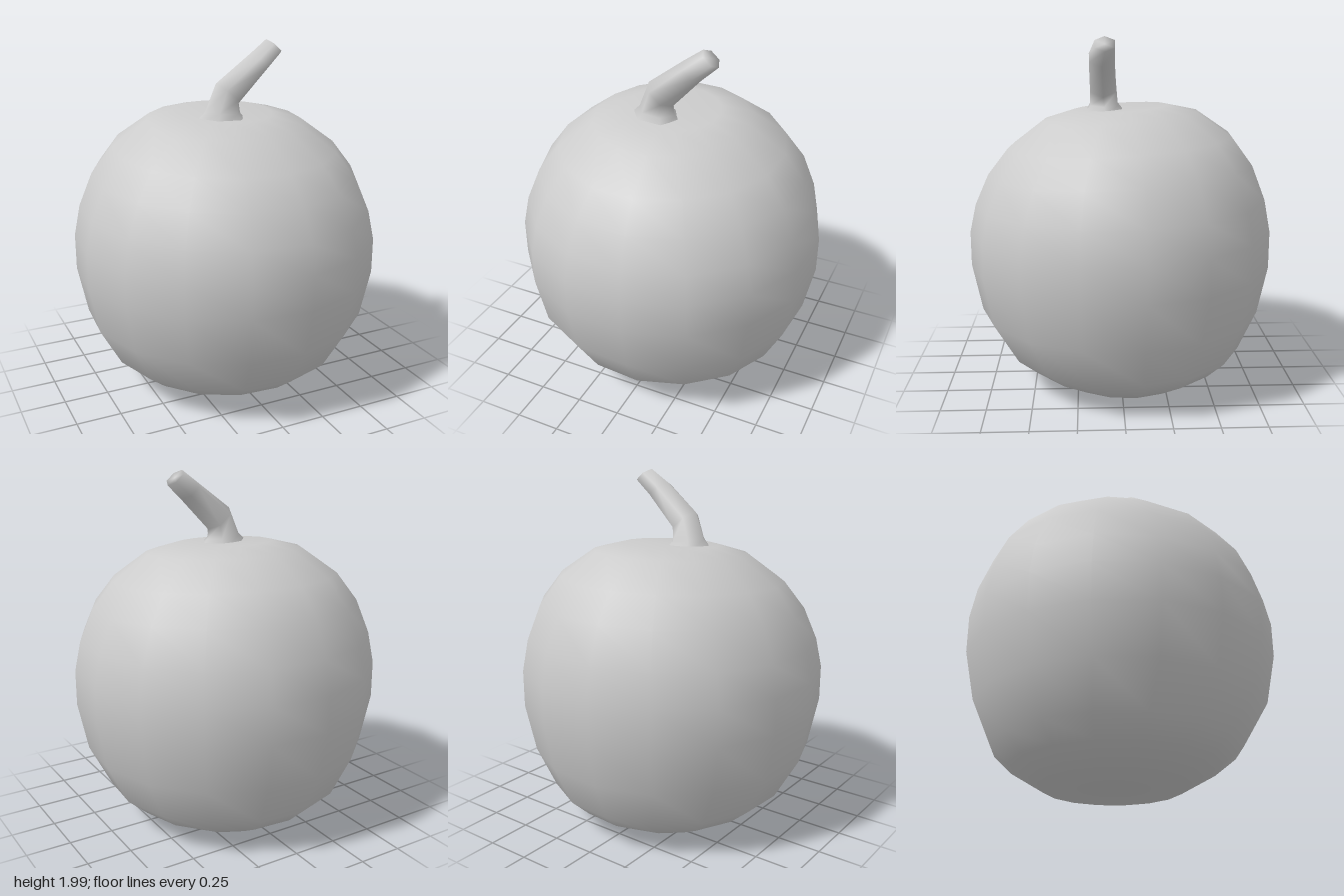
import * as THREE from 'three';
import { mergeVertices } from 'three/addons/utils/BufferGeometryUtils.js';

const material = () => new THREE.MeshStandardMaterial({ color: 0xcccccc });

// Plump round body with a shallow dimple where the stem sits
function createBody() {
  const profile = [
    [0, 0.02], [0.38, 0.01], [0.57, 0.12], [0.685, 0.22], [0.805, 0.45], [0.86, 0.72],
    [0.86, 0.92], [0.825, 1.09], [0.75, 1.27], [0.635, 1.42], [0.44, 1.56], [0.27, 1.605], [0, 1.585],
  ].map(([r, y]) => new THREE.Vector2(r, y));
  const geometry = new THREE.LatheGeometry(profile, 16, THREE.MathUtils.degToRad(7));
  geometry.deleteAttribute('uv');
  geometry.deleteAttribute('normal');
  const body = mergeVertices(geometry, 1e-4);
  const p = body.attributes.position;
  for (let i = 0; i < p.count; i++) {
    const x = p.getX(i), y = p.getY(i), z = p.getZ(i);
    // Tip the crown slightly forward, set the foot back, and move the dimple under the stem
    const top = THREE.MathUtils.smoothstep(y, 0.7, 1.6);
    const foot = 1 - THREE.MathUtils.smoothstep(y, 0, 0.45);
    const dimple = y > 1.5 && Math.hypot(x, z) < 0.01 ? 0.08 : 0;
    p.setXYZ(i, x + 0.01 * foot, y - 0.06 * z * top, z - 0.035 * foot + dimple);
  }
  body.computeVertexNormals();
  const mesh = new THREE.Mesh(body, material());
  mesh.name = 'body';
  return mesh;
}

// Bent, tapering stem lofted through tilted rings
function createStem() {
  const sides = 6;
  // Centre x, y, z, half width, half depth, tilt of the ring
  const rings = [
    [-0.055, 1.56, 0.085, 0.15, 0.13, 0],
    [-0.05, 1.62, 0.09, 0.105, 0.09, -0.1],
    [-0.025, 1.72, 0.095, 0.09, 0.085, -0.7],
    [0.16, 1.885, 0.105, 0.068, 0.08, -0.75],
    [0.255, 1.96, 0.09, 0.06, 0.062, -0.73],
  ];
  const points = [], faces = [];
  rings.forEach(([x, y, z, w, d, tilt], i) => {
    for (let j = 0; j < sides; j++) {
      const a = (j / sides) * Math.PI * 2;
      const flare = i === 0 && j % 2 ? 1.15 : 1; // ribs spreading at the root
      const u = Math.cos(a) * w * flare;
      points.push(x + u * Math.cos(tilt), y + u * Math.sin(tilt), z + Math.sin(a) * d * flare);
      const k = (j + 1) % sides, low = i * sides, high = low + sides;
      if (i < rings.length - 1) {
        faces.push(low + j, high + j, low + k, low + k, high + j, high + k);
      } else {
        faces.push(low + j, rings.length * sides, low + k);
      }
    }
  });
  points.push(...rings.at(-1).slice(0, 3)); // centre of the cut tip
  const geometry = new THREE.BufferGeometry();
  geometry.setAttribute('position', new THREE.Float32BufferAttribute(points, 3));
  geometry.setIndex(faces);
  geometry.computeVertexNormals();
  const mesh = new THREE.Mesh(geometry, material());
  mesh.name = 'stem';
  return mesh;
}

export function createModel() {
  const group = new THREE.Group();
  group.name = 'pumpkin';
  group.add(createBody(), createStem());
  return group;
}
